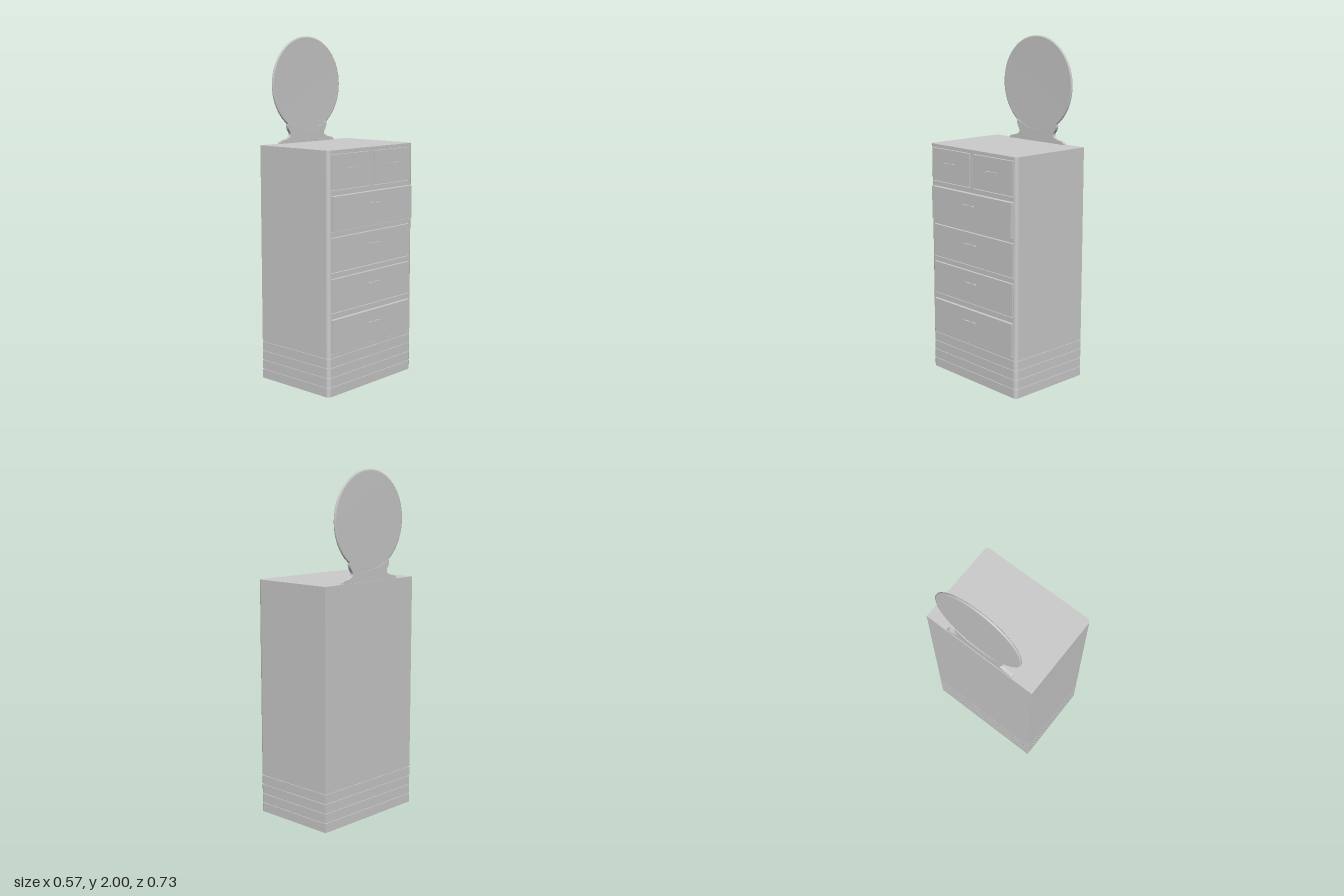
import * as THREE from 'three';

const material = new THREE.MeshStandardMaterial({ color: 0xcccccc });
const BACK = -0.283, FRONT = 0.25, HALF = 0.364, TOP = 1.38;

export function createModel() {
  const model = new THREE.Group();

  function add(name, geometry, parent = model) {
    const mesh = new THREE.Mesh(geometry, material);
    mesh.name = name;
    parent.add(mesh);
    return mesh;
  }

  // Box given by its limits on each axis
  function block(name, x0, x1, y0, y1, z0, z1, parent) {
    const mesh = add(name, new THREE.BoxGeometry(x1 - x0, y1 - y0, z1 - z0), parent);
    mesh.position.set((x0 + x1) / 2, (y0 + y1) / 2, (z0 + z1) / 2);
    return mesh;
  }

  // Floor plan with rounded front corners, optionally recessed between the stiles
  function plan(inset = 0, recess = 0) {
    const f = FRONT - inset, b = BACK + inset, h = HALF - inset, r = 0.022, s = 0.344;
    const p = new THREE.Shape();
    p.moveTo(b, -h);
    p.lineTo(f - r, -h);
    p.absarc(f - r, -h + r, r, -Math.PI / 2, 0, false);
    if (recess) {
      p.lineTo(f, -s);
      p.lineTo(f - recess, -s);
      p.lineTo(f - recess, s);
      p.lineTo(f, s);
    }
    p.absarc(f - r, h - r, r, 0, Math.PI / 2, false);
    p.lineTo(b, h);
    p.closePath();
    return p;
  }

  function slab(name, shape, y0, y1) {
    const g = new THREE.ExtrudeGeometry(shape, { depth: y1 - y0, bevelEnabled: false, curveSegments: 8 });
    g.rotateX(-Math.PI / 2);
    g.translate(0, y0, 0);
    return add(name, g);
  }

  // Plinth: stacked bands with narrow grooves
  const bands = [0, 0.058, 0.114, 0.17, 0.226];
  slab('plinthCore', plan(0.005), 0.002, 0.23);
  for (let i = 0; i < 4; i++) slab('plinthBand', plan(), bands[i], bands[i + 1] - 0.005);

  // Carcass with side stiles
  slab('carcass', plan(0, 0.012), bands[4], TOP);

  // Drawer rows: [bottom, top, front face x]
  const rows = [
    [0.25, 0.44, 0.26],
    [0.48, 0.67, 0.254],
    [0.708, 0.9, 0.254],
    [0.936, 1.13, 0.266],
    [1.165, 1.357, 0.254],
  ];
  const gap = 0.005;

  // Rails fill the front between the rows
  for (let i = 0; i <= rows.length; i++) {
    const y0 = i === 0 ? bands[4] : rows[i - 1][1] + gap;
    const y1 = i === rows.length ? TOP : rows[i][0] - gap;
    block('rail', 0.236, FRONT, y0, y1, -0.344, 0.344);
  }
  block('centreStile', 0.236, FRONT, 1.16, 1.362, -0.009, 0.009);

  // Drawer front with a bar pull on two posts
  function drawer([y0, y1, face], z0, z1) {
    const group = new THREE.Group();
    group.name = 'drawer';
    model.add(group);
    block('drawerFront', 0.232, face, y0, y1, z0, z1, group);
    const y = y0 + (y1 - y0) * (face > 0.265 ? 0.63 : 0.62) + (z1 - z0 < 0.4 ? -0.009 : 0.003);
    const z = (z0 + z1) / 2;
    block('handleBar', face + 0.011, face + 0.017, y - 0.005, y + 0.005, z - 0.051, z + 0.051, group);
    for (const side of [-1, 1]) {
      const post = add('handlePost', new THREE.CylinderGeometry(0.005, 0.005, 0.014, 12), group);
      post.rotation.z = Math.PI / 2;
      post.position.set(face + 0.006, y, z + side * 0.029);
    }
  }
  rows.forEach((row, i) => {
    if (i < 4) drawer(row, -0.338, 0.338);
    else {
      drawer(row, -0.338, -0.015);
      drawer(row, 0.015, 0.338);
    }
  });

  // Curved mirror stand, cradling the mirror's lower edge
  const MY = 1.72, R = 0.28, a = -0.95;
  const s = new THREE.Shape();
  s.moveTo(-0.225, TOP);
  s.lineTo(0.225, TOP);
  s.bezierCurveTo(0.225, 1.405, 0.19, 1.395, 0.165, 1.408);
  s.bezierCurveTo(0.13, 1.42, 0.142, 1.44, 0.152, 1.452);
  s.quadraticCurveTo(0.168, 1.475, 0.161, 1.494);
  s.absarc(0, MY, 0.272, a, -Math.PI - a, true);
  s.quadraticCurveTo(-0.168, 1.475, -0.152, 1.452);
  s.bezierCurveTo(-0.142, 1.44, -0.13, 1.42, -0.165, 1.408);
  s.bezierCurveTo(-0.19, 1.395, -0.225, 1.405, -0.225, TOP);
  const stand = new THREE.ExtrudeGeometry(s, { depth: 0.02, bevelEnabled: false, curveSegments: 16 });
  stand.rotateY(Math.PI / 2);
  stand.translate(-0.279, 0, 0);
  add('mirrorStand', stand);

  // Round mirror with a softened rim
  const profile = [
    [0, -0.007], [R - 0.012, -0.007], [R - 0.004, -0.006], [R, -0.003],
    [R, 0.003], [R - 0.004, 0.006], [R - 0.012, 0.007], [R - 0.016, 0.005], [0, 0.005],
  ].map(([r, y]) => new THREE.Vector2(r, y));
  const mirror = add('mirror', new THREE.LatheGeometry(profile, 64));
  mirror.rotation.z = -Math.PI / 2;
  mirror.position.set(-0.268, MY, 0);

  return model;
}
